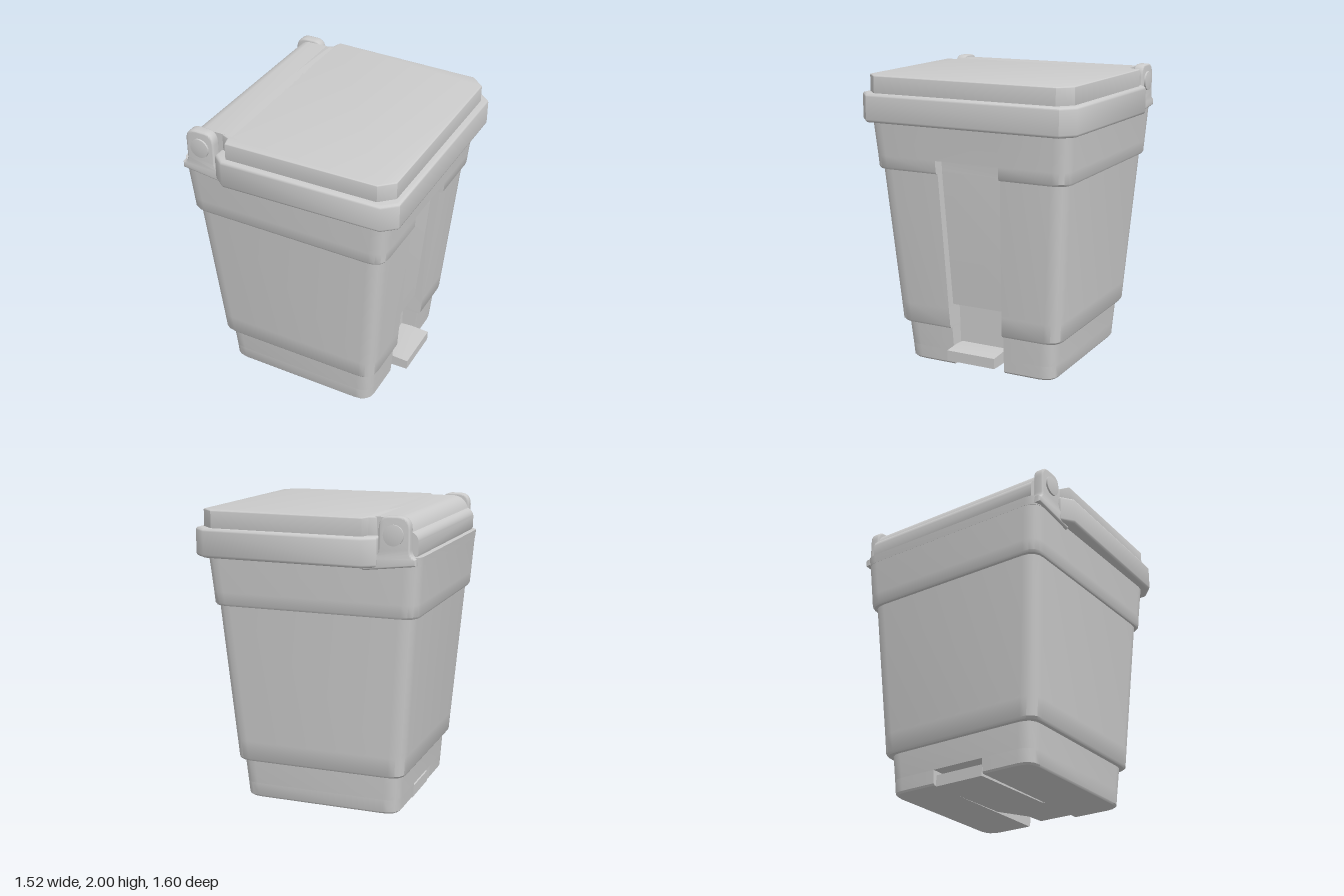
import * as THREE from 'three';
import { toCreasedNormals } from 'three/addons/utils/BufferGeometryUtils.js';

const material = new THREE.MeshStandardMaterial({ color: 0xcccccc });

function addPart(group, name, geometry, crease = 0.6) {
  const mesh = new THREE.Mesh(toCreasedNormals(geometry, crease), material);
  mesh.name = name;
  group.add(mesh);
  return mesh;
}

// Plan outlines use (x, w) with w = -z, counter-clockwise; each corner is [x, w, radius]
function roundedRing(corners, steps = 4) {
  const ring = [];
  corners.forEach(([x, w, r], i) => {
    const p = new THREE.Vector2(x, w);
    if (!r) return ring.push(p);
    const n = corners.length;
    const toward = ([a, b]) => new THREE.Vector2(a, b).sub(p).setLength(r).add(p);
    const curve = new THREE.QuadraticBezierCurve(
      toward(corners[(i + n - 1) % n]), p, toward(corners[(i + 1) % n]));
    ring.push(...curve.getPoints(steps));
  });
  return ring;
}

// Skin a stack of matching rings [{ y, ring }] and cap both ends
function loft(levels) {
  const n = levels[0].ring.length;
  const positions = [], index = [];
  for (const { y, ring } of levels) for (const p of ring) positions.push(p.x, y, -p.y);
  for (let l = 0; l < levels.length - 1; l++) {
    for (let i = 0; i < n; i++) {
      const j = (i + 1) % n, a = l * n, b = a + n;
      index.push(a + i, a + j, b + i, a + j, b + j, b + i);
    }
  }
  const top = (levels.length - 1) * n;
  for (const [a, b, c] of THREE.ShapeUtils.triangulateShape(levels[0].ring, [])) index.push(a, c, b);
  for (const [a, b, c] of THREE.ShapeUtils.triangulateShape(levels.at(-1).ring, [])) {
    index.push(top + a, top + b, top + c);
  }
  const geometry = new THREE.BufferGeometry();
  geometry.setAttribute('position', new THREE.Float32BufferAttribute(positions, 3));
  geometry.setIndex(index);
  return geometry;
}

function rectRing(x0, x1, w0, w1, rInner, rOuter) {
  return roundedRing([[x1, w0, rInner], [x1, w1, rOuter], [x0, w1, rOuter], [x0, w0, rInner]]);
}

// Body outline with the pedal recess cut into its +x side
function bodyRing(x0, x1, half, floor, notch, r = 0.1) {
  return roundedRing([
    [x1, notch, 0], [x1, half, r], [x0, half, r], [x0, -half, r],
    [x1, -half, r], [x1, -notch, 0], [floor, -notch, 0], [floor, notch, 0],
  ]);
}

// Plate with a bevelled edge, from a plan given for one side and mirrored
function plate(side, y0, y1, bevel) {
  const outline = [...side, ...side.map(([x, w]) => [x, -w]).reverse()];
  const shape = new THREE.Shape(outline.map(([x, w]) => new THREE.Vector2(x, w)));
  const geometry = new THREE.ExtrudeGeometry(shape, {
    depth: y1 - y0 - 2 * bevel, bevelThickness: bevel, bevelSize: bevel,
    bevelOffset: -bevel, bevelSegments: 3,
  });
  return geometry.rotateX(-Math.PI / 2).translate(0, y0 + bevel, 0);
}

// Side profile in (x, y), extruded across z
function across(shape, z0, z1, bevel = 0) {
  return new THREE.ExtrudeGeometry(shape, {
    depth: z1 - z0 - 2 * bevel, bevelEnabled: bevel > 0, bevelThickness: bevel,
    bevelSize: bevel, bevelOffset: -bevel, bevelSegments: 3, curveSegments: 10,
  }).translate(0, 0, z0 + bevel);
}

const shapeOf = (points) => new THREE.Shape(points.map(([x, y]) => new THREE.Vector2(x, y)));

export function createModel() {
  const model = new THREE.Group();
  model.name = 'pedalBin';

  // Stepped, tapering body: y, back x, front x, half depth, recess floor x, recess half width
  const rows = [
    [0.11, -0.585, 0.517, 0.553, 0.42, 0.19],
    [0.28, -0.595, 0.53, 0.567, 0.42, 0.195],
    [0.28, -0.62, 0.547, 0.592, 0.42, 0.195],
    [0.295, -0.63, 0.557, 0.602, 0.42, 0.195],
    [0.42, -0.638, 0.566, 0.611, 0.42, 0.2],
    [0.44, -0.64, 0.568, 0.612, 0.505, 0.2],
    [1.36, -0.708, 0.638, 0.678, 0.58, 0.228],
    [1.36, -0.727, 0.652, 0.692, 0.58, 0.228],
    [1.375, -0.735, 0.662, 0.7, 0.58, 0.228],
    [1.45, -0.74, 0.667, 0.705, 0.585, 0.23],
    [1.45, -0.74, 0.667, 0.705, 0.667, 0.23],
    [1.7, -0.757, 0.69, 0.723, 0.69, 0.23],
  ];
  addPart(model, 'body', loft(rows.map(([y, ...r]) => ({ y, ring: bodyRing(...r) }))));

  // Raised back part of the body rim, below the hinge
  addPart(model, 'hingeRim', loft([
    { y: 1.69, ring: rectRing(-0.757, -0.38, -0.722, 0.722, 0.09, 0.09) },
    { y: 1.75, ring: rectRing(-0.762, -0.42, -0.727, 0.727, 0.09, 0.09) },
  ]));

  // Two long feet leave a channel for the pedal lever
  for (const side of [1, -1]) {
    const footRing = (x0, x1, outer) => side > 0
      ? rectRing(x0, x1, 0.19, outer, 0, 0.1)
      : rectRing(x0, x1, -outer, -0.19, 0.1, 0);
    addPart(model, side > 0 ? 'backFoot' : 'frontFoot', loft([
      { y: 0.01, ring: footRing(-0.57, 0.5, 0.538) },
      { y: 0.022, ring: footRing(-0.58, 0.51, 0.547) },
      { y: 0.11, ring: footRing(-0.585, 0.517, 0.553) },
    ]));
  }

  // Pedal and its lever, running to the back of the channel
  addPart(model, 'pedal', across(shapeOf([
    [-0.57, 0], [0.1, 0.01], [0.48, 0.075], [0.63, 0.08], [0.632, 0.152],
    [0.5, 0.158], [0.36, 0.145], [-0.57, 0.075],
  ]), -0.178, 0.178), 0.4);

  // Lid: overhanging rim, raised panel, and rolled hinge edge
  addPart(model, 'lidRim', plate(
    [[0.76, 0.69], [0.67, 0.77], [-0.41, 0.8], [-0.49, 0.74], [-0.49, 0.6]], 1.68, 1.87, 0.02), 0.8);
  addPart(model, 'lidPanel', plate(
    [[0.72, 0.65], [0.63, 0.735], [-0.4, 0.757], [-0.42, 0.69], [-0.47, 0.67]], 1.85, 1.985, 0.008));
  const roll = new THREE.Shape();
  roll.moveTo(-0.4, 1.72);
  roll.lineTo(-0.4, 1.985);
  roll.lineTo(-0.6, 1.985);
  roll.quadraticCurveTo(-0.67, 1.975, -0.695, 1.9);
  roll.quadraticCurveTo(-0.735, 1.88, -0.735, 1.84);
  roll.lineTo(-0.735, 1.77);
  roll.lineTo(-0.71, 1.72);
  addPart(model, 'lidHingeRoll', across(roll, -0.67, 0.67), 0.7);

  // Hinge ear with filleted base, and its pin
  const ear = new THREE.Shape();
  ear.moveTo(-0.74, 1.7);
  ear.lineTo(-0.74, 1.745);
  ear.quadraticCurveTo(-0.7, 1.75, -0.7, 1.8);
  ear.lineTo(-0.7, 1.92);
  ear.quadraticCurveTo(-0.7, 2, -0.62, 2);
  ear.lineTo(-0.57, 2);
  ear.quadraticCurveTo(-0.5, 2, -0.5, 1.92);
  ear.lineTo(-0.5, 1.8);
  ear.quadraticCurveTo(-0.5, 1.75, -0.45, 1.748);
  ear.lineTo(-0.41, 1.745);
  ear.lineTo(-0.375, 1.69);
  ear.lineTo(-0.4, 1.66);
  const pinProfile = [[0, -0.02], [0.065, -0.02], [0.065, 0.012], [0, 0.022]]
    .map(([r, h]) => new THREE.Vector2(r, h));
  for (const side of [1, -1]) {
    const label = side > 0 ? 'front' : 'back';
    const z0 = side > 0 ? 0.668 : -0.738;
    addPart(model, label + 'HingeEar', across(ear, z0, z0 + 0.07, 0.012), 0.7);
    const pin = new THREE.LatheGeometry(pinProfile, 24).rotateX(side * Math.PI / 2);
    addPart(model, label + 'HingePin', pin.translate(-0.598, 1.885, side * 0.738));
  }

  return model;
}
